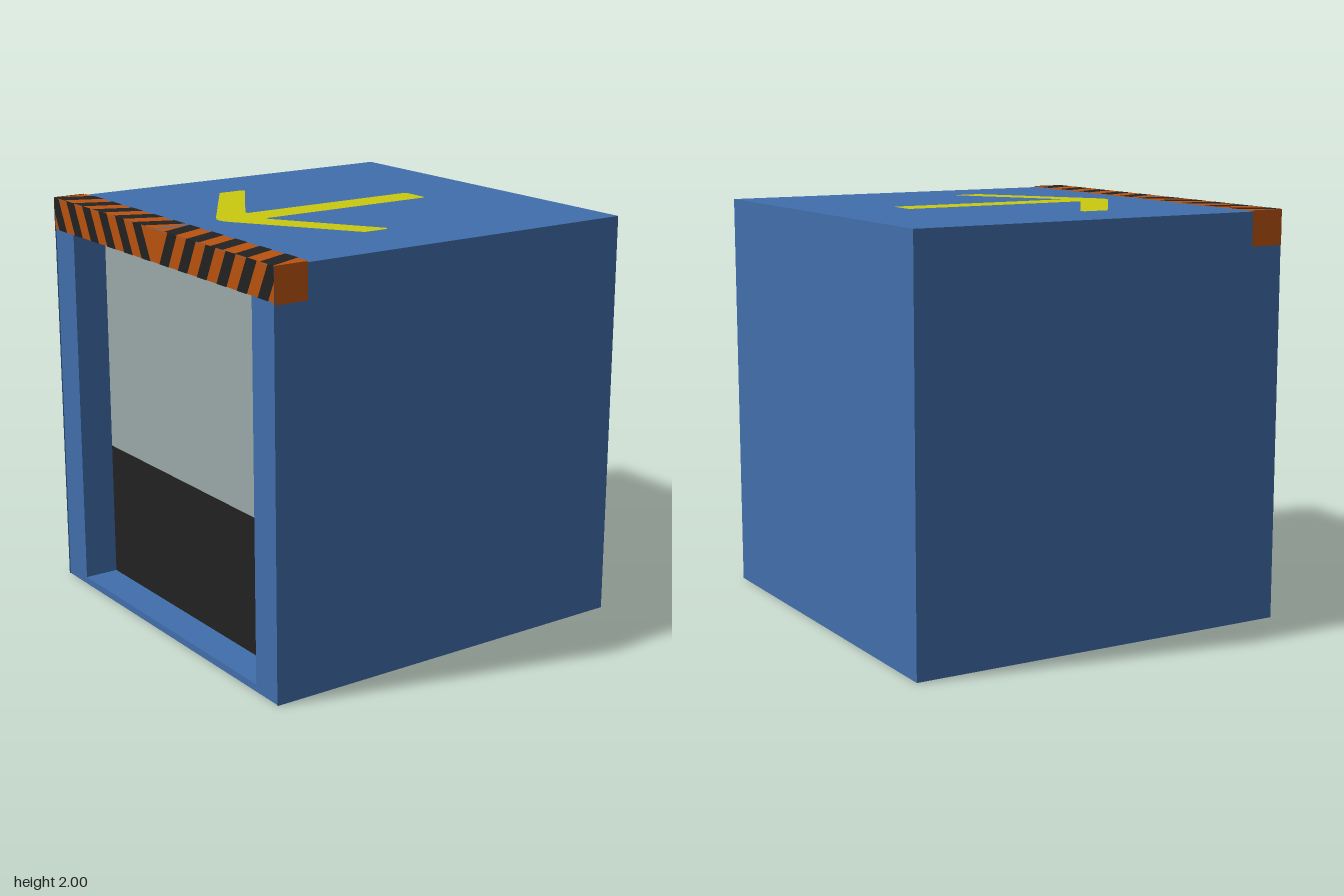
import * as THREE from 'three';

export function createModel() {
  const model = new THREE.Group();
  const mat = (name, color) => {
    const m = new THREE.MeshStandardMaterial({ color, side: THREE.DoubleSide });
    m.name = name;
    return m;
  };
  const blue = mat('blue paint', 0x416eac);
  const grey = mat('grey panel', 0x9ba9a8);
  const black = mat('black', 0x222222);
  const orange = mat('orange', 0xb9520f);
  const yellow = mat('yellow', 0xc9c910);

  const W = 0.98, H = 1.994;           // half width, body height
  const open = 0.8, sill = 0.035, lintel = 1.84, back = 0.8; // recess limits

  const add = (name, geometry, material, parent = model) => {
    const mesh = new THREE.Mesh(geometry, material);
    mesh.name = name;
    parent.add(mesh);
    return mesh;
  };
  const group = (name) => {
    const g = new THREE.Group();
    g.name = name;
    model.add(g);
    return g;
  };
  const shapeOf = (pts) => new THREE.Shape(pts.map(([x, y]) => new THREE.Vector2(x, y)));
  const rect = (x0, y0, x1, y1) => [[x0, y0], [x1, y0], [x1, y1], [x0, y1]];
  const face = (pts) => new THREE.ShapeGeometry(shapeOf(pts));
  // Lays a shape drawn in (x, -z) flat, facing up
  const flat = (pts, y) => face(pts).rotateX(-Math.PI / 2).translate(0, y, 0);
  const sideFace = (z0, y0, z1, y1, x, s) =>
    face(rect(-z1, y0, -z0, y1).map(([a, b]) => [a * s, b])).rotateY(s * Math.PI / 2).translate(s * x, 0, 0);

  // Hollow shell, open underneath
  const shell = group('shell');
  add('roof', flat(rect(-W, -W, W, W), H), blue, shell);
  add('backWall', face(rect(-W, 0, W, H)).rotateY(Math.PI).translate(0, 0, -W), blue, shell);
  const frame = shapeOf(rect(-W, 0, W, H));
  frame.holes.push(shapeOf(rect(-open, sill, open, lintel)));
  add('frontFrame', new THREE.ShapeGeometry(frame).translate(0, 0, W - 0.006), blue, shell);

  // Recess lining and back panel
  const recess = group('recess');
  add('sill', flat(rect(-open, -W + 0.006, open, -back), sill), blue, recess);
  add('recessCeiling', flat(rect(-open, -W + 0.006, open, -back), lintel).scale(1, 1, 1), blue, recess);
  add('upperPanel', face(rect(-open, 0.72, open, lintel)).translate(0, 0, back), grey, recess);
  add('lowerPanel', face(rect(-open, sill, open, 0.72)).translate(0, 0, back), black, recess);

  for (const s of [1, -1]) {
    add('sideWall', sideFace(-W, 0, W, H, W, s), blue, shell);
    add('jamb', sideFace(back, sill, W - 0.006, lintel, open, s), blue, recess);
  }

  // Slanted stripe from (a..b) at y0 to (a+lean..b+lean) at y1, clipped at the body edge
  const stripe = (a, b, y0, y1, lean, s) => {
    const pts = [[a, y0], [b, y0]];
    if (b + lean > W) {
      pts.push([W, y0 + (y1 - y0) * (W - b) / lean], [W, y1]);
    } else {
      pts.push([b + lean, y1]);
    }
    pts.push([a + lean, y1]);
    return pts.map(([x, y]) => [x * s, y]);
  };

  // Warning band: front, top and ends
  const band = group('warningBand');
  add('bandFront', face(rect(-W, lintel, W, 2)).translate(0, 0, W - 0.003), orange, band);
  for (const s of [1, -1]) {
    add('bandEnd', sideFace(0.81, 1.83, W, 2, W + 0.003, s), orange, band);
    add('bandTop', flat(rect(0.01, -W, W, -back).map(([x, y]) => [x * s, y]), H + 0.003), orange, band);
    for (let k = 0; k < 6; k++) {
      const a = 0.04 + 0.163 * k;
      add('frontStripe', face(stripe(a, a + 0.081, lintel, 2, 0.079, s)).translate(0, 0, W), black, band);
    }
    for (let k = 0; k < 5; k++) {
      const a = 0.016 + 0.196 * k;
      add('topStripe', flat(stripe(a, a + 0.1, -back, -W, 0.075, s), H + 0.006), black, band);
    }
  }

  // Roof arrow pointing to the front
  const half = [[0.03, -0.625], [0.06, -0.61], [0.615, -0.24], [0.615, -0.115], [0.595, -0.1],
    [0.1, -0.42], [0.08, -0.42], [0.08, 0.52], [0.07, 0.53]];
  const mirrored = half.map(([x, y]) => [-x, y]).reverse();
  add('roofArrow', flat([[0, -0.632], ...half, ...mirrored], H + 0.004), yellow);

  return model;
}
